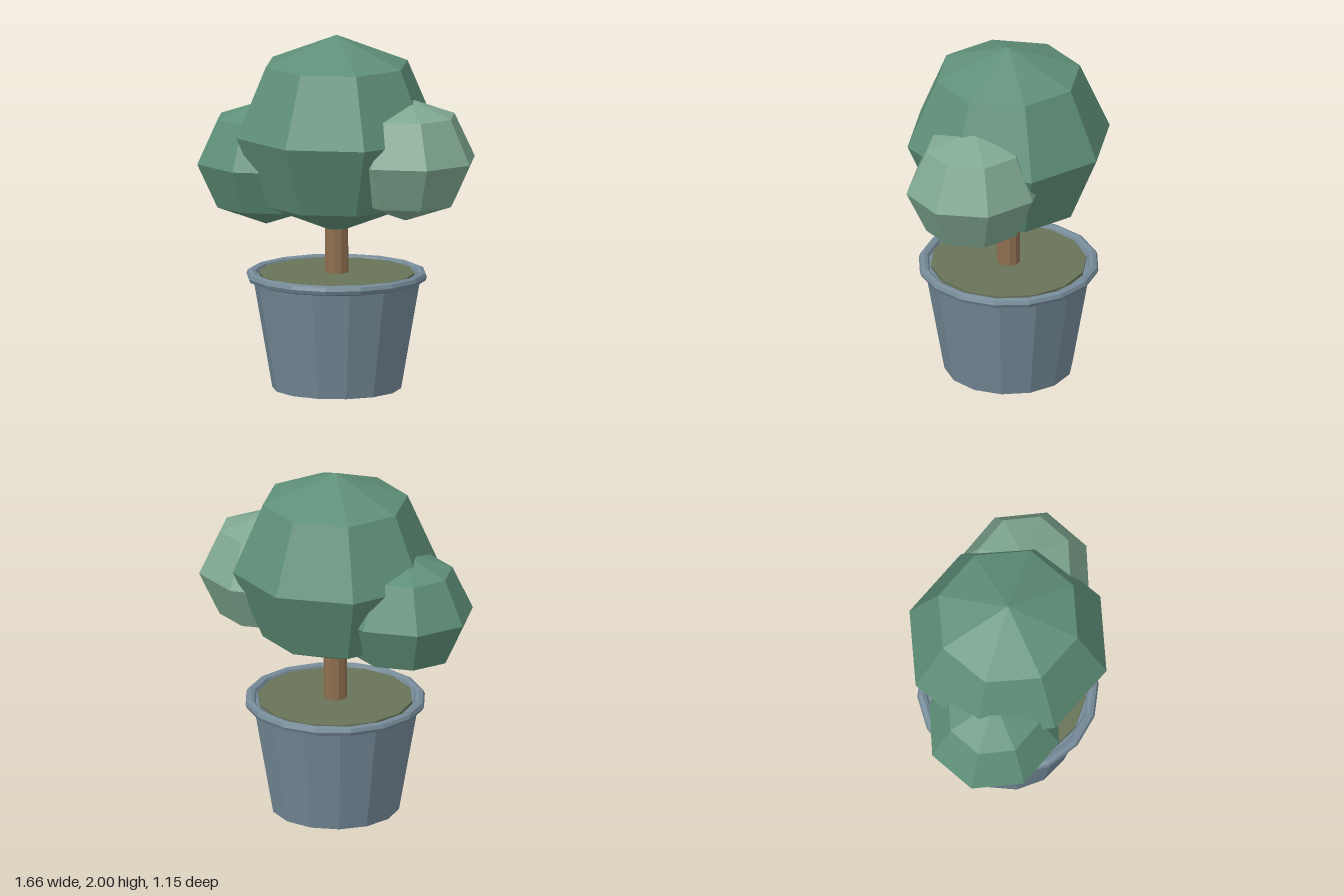
import * as THREE from 'three';

const material = (color) => new THREE.MeshStandardMaterial({ color, flatShading: true });

export function createModel() {
  const model = new THREE.Group();
  const potMaterial = material(0x758a98);
  const leafMaterial = material(0x5f9079);

  const add = (name, geometry, mat, x, y, z) => {
    const mesh = new THREE.Mesh(geometry, mat);
    mesh.name = name;
    mesh.position.set(x, y, z);
    model.add(mesh);
    return mesh;
  };

  // Faceted cylinder standing on yBottom, with a corner on the x axis
  const post = (name, rTop, rBottom, yBottom, yTop, sides, mat) => {
    const geometry = new THREE.CylinderGeometry(rTop, rBottom, yTop - yBottom, sides);
    geometry.rotateY(Math.PI / sides);
    return add(name, geometry, mat, 0, (yBottom + yTop) / 2, 0);
  };

  // Low-poly leaf ball, stretched by its three radii
  const leafBall = (name, center, radii, mat) =>
    add(name, new THREE.SphereGeometry(1, 8, 4).scale(...radii), mat, ...center);

  // Pot, rolled rim and soil
  post('pot', 0.47, 0.36, 0, 0.637, 14, potMaterial);
  const rim = new THREE.TorusGeometry(0.478, 0.029, 8, 16).rotateX(Math.PI / 2);
  add('potRim', rim, potMaterial, 0, 0.637, 0);
  post('soil', 0.436, 0.436, 0.61, 0.655, 14, material(0x687358));

  // Trunk
  post('trunk', 0.063, 0.066, 0.63, 1.1, 10, material(0x8f6f50));

  // Foliage
  leafBall('mainCrown', [0, 1.44, 0], [0.58, 0.56, 0.577], leafMaterial);
  leafBall('leftCrown', [0.42, 1.33, -0.04], [0.41, 0.35, 0.38], material(0x80a891));
  leafBall('rightCrown', [-0.42, 1.25, 0.055], [0.41, 0.352, 0.38], leafMaterial);

  return model;
}
